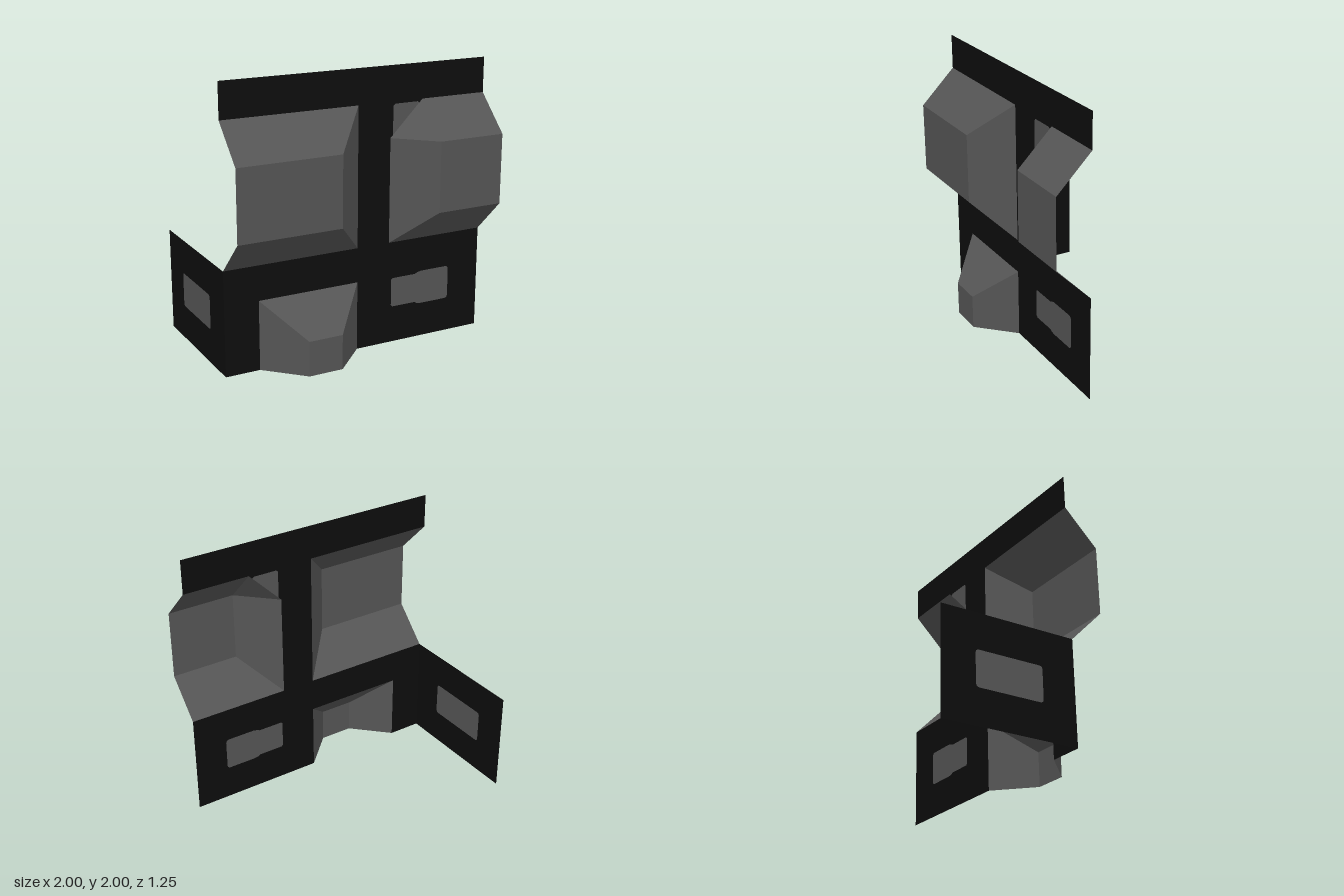
import * as THREE from 'three';

const WALL_Z = 0.375; // plane of the front wall
const BAY_Z = 0.625;  // plane of the projecting bay fronts

const toShape = pts => new THREE.Shape(pts.map(([x, y]) => new THREE.Vector2(x, y)));

// Flat faceted surface from convex polygons
function facets(polygons) {
  const pos = [];
  for (const p of polygons)
    for (let i = 1; i < p.length - 1; i++) pos.push(...p[0], ...p[i], ...p[i + 1]);
  const g = new THREE.BufferGeometry();
  g.setAttribute('position', new THREE.Float32BufferAttribute(pos, 3));
  g.computeVertexNormals();
  return g;
}

export function createModel() {
  const group = new THREE.Group();
  const black = new THREE.MeshStandardMaterial({ name: 'wall black', color: 0x0d0d0d, side: THREE.DoubleSide });
  const grey = new THREE.MeshStandardMaterial({ name: 'panel grey', color: 0x555555, side: THREE.DoubleSide });

  function add(name, geometry, material) {
    const mesh = new THREE.Mesh(geometry, material);
    mesh.name = name;
    group.add(mesh);
    return mesh;
  }
  const w = (x, y) => [x, y, WALL_Z];
  const f = (x, y) => [x, y, BAY_Z];

  // Panels set flush in the walls
  const upperPanel = [[0.27, 1.52], [0.475, 1.725], [0.462, 1.735], [0.285, 1.735], [0.27, 1.722]];
  const lowerPanel = [
    [0.273, 0.28], [0.285, 0.267], [0.47, 0.267], [0.49, 0.256], [0.52, 0.251], [0.73, 0.251], [0.744, 0.258],
    [0.75, 0.272], [0.75, 0.477], [0.744, 0.491], [0.73, 0.498], [0.52, 0.498], [0.49, 0.492],
    [0.47, 0.482], [0.285, 0.482], [0.273, 0.472],
  ];
  const sidePanel = [
    [-0.355, 0.25], [0.105, 0.25], [0.119, 0.256], [0.125, 0.27], [0.125, 0.48], [0.119, 0.494],
    [0.105, 0.5], [-0.355, 0.5], [-0.369, 0.494], [-0.375, 0.48], [-0.375, 0.27], [-0.369, 0.256],
  ];

  // Front wall, open behind every bay
  const wall = toShape([
    [-1, 0], [-0.75, 0], [-0.75, 0.5], [0, 0.5], [0, 0], [1, 0], [1, 0.75],
    [0.25, 0.75], [0.25, 1.5], upperPanel[0], upperPanel[4], upperPanel[3], upperPanel[2], upperPanel[1],
    [0.5, 1.75], [1, 1.75], [1, 2], [-1, 2], [-1, 1.75], [0, 1.75], [0, 0.75], [-1, 0.75],
  ]);
  wall.holes.push(toShape(lowerPanel));
  add('frontWall', new THREE.ShapeGeometry(wall), black).position.z = WALL_Z;
  add('upperPanel', new THREE.ShapeGeometry(toShape(upperPanel)), grey).position.z = WALL_Z;
  add('lowerPanel', new THREE.ShapeGeometry(toShape(lowerPanel)), grey).position.z = WALL_Z;

  // Side wall, drawn in z and y
  const side = toShape([[-0.625, 0], [WALL_Z, 0], [WALL_Z, 0.75], [-0.625, 0.75]]);
  side.holes.push(toShape(sidePanel));
  for (const [name, shape, material] of [['sideWall', side, black], ['sidePanel', toShape(sidePanel), grey]]) {
    const mesh = add(name, new THREE.ShapeGeometry(shape), material);
    mesh.rotation.y = -Math.PI / 2;
    mesh.position.x = -1;
  }

  // Large bay, open at its outer end
  add('largeBay', facets([
    [f(-1, 1), f(-0.25, 1), f(-0.25, 1.5), f(-1, 1.5)],
    [f(-1, 1.5), f(-0.25, 1.5), w(0, 1.75), w(-1, 1.75)],
    [w(-1, 0.75), w(0, 0.75), f(-0.25, 1), f(-1, 1)],
    [f(-0.25, 1), w(0, 0.75), w(0, 1.75), f(-0.25, 1.5)],
  ]), grey);

  // Small bay with one clipped upper corner
  add('smallBay', facets([
    [f(0.5, 1), f(1, 1), f(1, 1.5), f(0.5, 1.5)],
    [f(0.5, 1.5), f(1, 1.5), w(1, 1.75), w(0.5, 1.75)],
    [w(0.25, 0.75), w(1, 0.75), f(1, 1), f(0.5, 1)],
    [w(0.25, 0.75), f(0.5, 1), f(0.5, 1.5), w(0.25, 1.5)],
    [w(0.25, 1.5), f(0.5, 1.5), w(0.5, 1.75)],
  ]), grey);

  // Bottom bay standing on the ground, open below
  add('bottomBay', facets([
    [f(-0.5, 0), f(-0.25, 0), f(-0.25, 0.25), f(-0.5, 0.25)],
    [f(-0.5, 0.25), f(-0.25, 0.25), w(0, 0.5), w(-0.75, 0.5)],
    [w(-0.75, 0), f(-0.5, 0), f(-0.5, 0.25), w(-0.75, 0.5)],
    [f(-0.25, 0), w(0, 0), w(0, 0.5), f(-0.25, 0.25)],
  ]), grey);

  return group;
}
